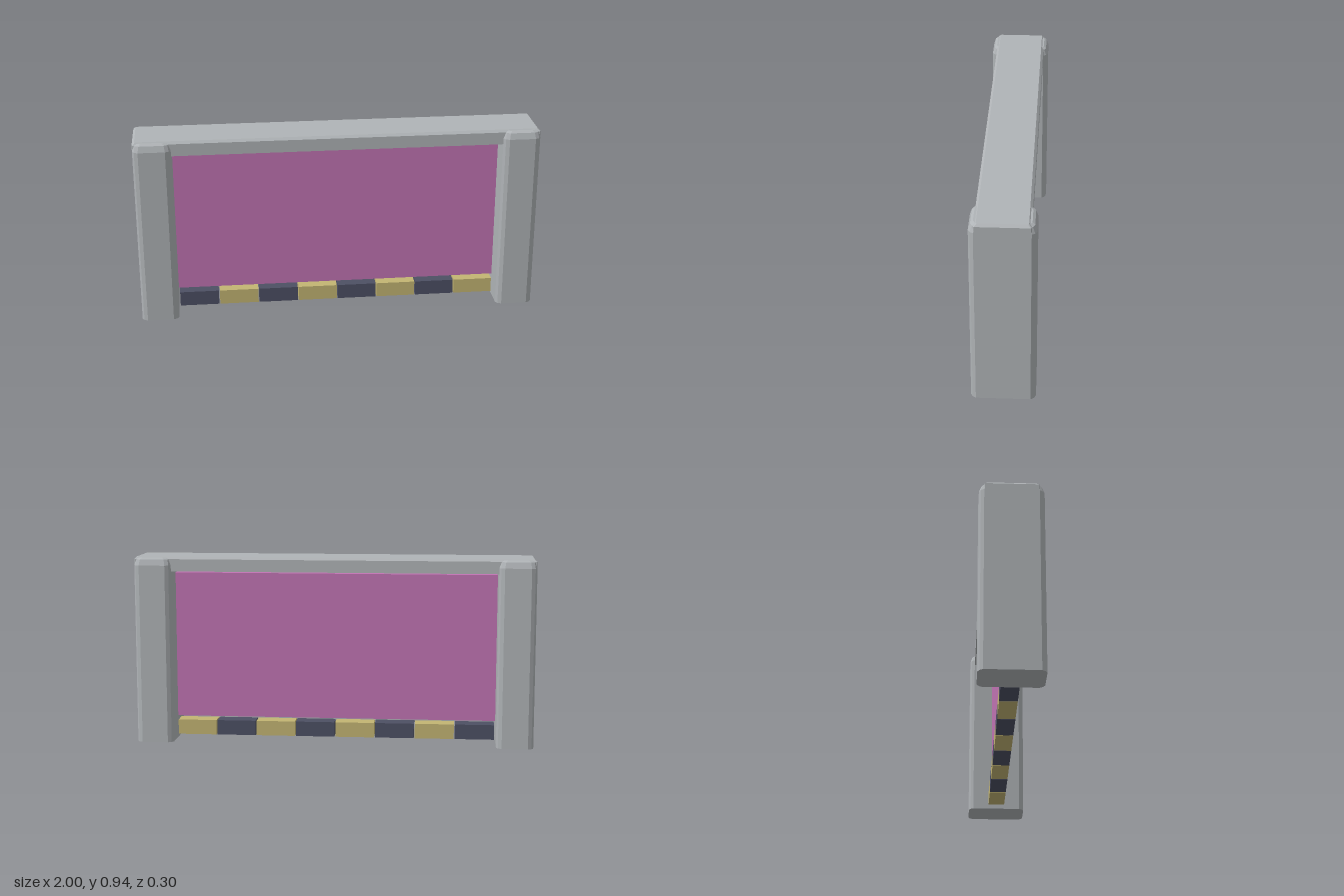
import * as THREE from 'three';

const mat = (name, color) => {
  const m = new THREE.MeshStandardMaterial({ color });
  m.name = name;
  return m;
};

// Outline with four corners cut back in steps; corner = [[x, z], ...] in the +x +z quarter
function outline(corner) {
  const rev = [...corner].reverse();
  return [
    ...corner,
    ...rev.map(([x, z]) => [-x, z]),
    ...corner.map(([x, z]) => [-x, -z]),
    ...rev.map(([x, z]) => [x, -z]),
  ];
}

// Closed, flat-faced solid from outlines stacked upwards: rings = [[y, corner], ...]
function stack(rings) {
  const loops = rings.map(([y, c]) => outline(c).map(([x, z]) => [x, y, z]));
  const n = loops[0].length, pos = [];
  for (let r = 0; r < loops.length - 1; r++) {
    for (let i = 0; i < n; i++) {
      const j = (i + 1) % n;
      const a = loops[r][i], b = loops[r][j], c = loops[r + 1][j], d = loops[r + 1][i];
      pos.push(...a, ...c, ...b, ...a, ...d, ...c);
    }
  }
  const bottom = loops[0], top = loops[loops.length - 1];
  for (let i = 1; i < n - 1; i++) {
    pos.push(...bottom[0], ...bottom[i], ...bottom[i + 1]);
    pos.push(...top[0], ...top[i + 1], ...top[i]);
  }
  const g = new THREE.BufferGeometry();
  g.setAttribute('position', new THREE.Float32BufferAttribute(pos, 3));
  g.computeVertexNormals();
  return g;
}

export function createModel() {
  const model = new THREE.Group();
  model.name = 'barrierGate';
  const grey = mat('frame grey', 0xb0b4b7);
  const pink = mat('panel magenta', 0xc274b4);
  const dark = mat('stripe dark slate', 0x4d5064);
  const tan = mat('stripe tan', 0xc3b573);

  const add = (name, geometry, material, x = 0, y = 0, z = 0) => {
    const mesh = new THREE.Mesh(geometry, material);
    mesh.name = name;
    mesh.position.set(x, y, z);
    model.add(mesh);
  };

  // Side posts with bevelled corners and tops
  const postCorner = (dx, dz) => [
    [0.0925 - dx, 0.126 - dz], [0.083 - dx, 0.141 - dz], [0.065 - dx, 0.15 - dz],
  ];
  const post = stack([
    [0, postCorner(0, 0)],
    [0.9, postCorner(0, 0)],
    [0.93, postCorner(0.005, 0.01)],
    [0.938, postCorner(0.014, 0.022)],
  ]);
  add('leftPost', post, grey, 0.9075);
  add('rightPost', post, grey, -0.9075);

  // Top beam with a bevelled upper edge
  const beamCorner = (d) => [[1 - d, 0.122 - d], [0.996 - d, 0.126 - d]];
  add('topBeam', stack([
    [0.87, beamCorner(0)],
    [0.931, beamCorner(0)],
    [0.943, beamCorner(0.012)],
  ]), grey);

  // Panel hanging between the posts
  add('panel', new THREE.BoxGeometry(1.625, 0.74, 0.05), pink, 0, 0.485);

  // Bottom rail of alternating blocks
  const pitch = 0.2025;
  const block = new THREE.BoxGeometry(pitch - 0.005, 0.075, 0.085);
  for (let i = 0; i < 8; i++) {
    add('railBlock' + (i + 1), block, i % 2 ? tan : dark, (i - 3.5) * pitch, 0.059);
  }
  return model;
}
